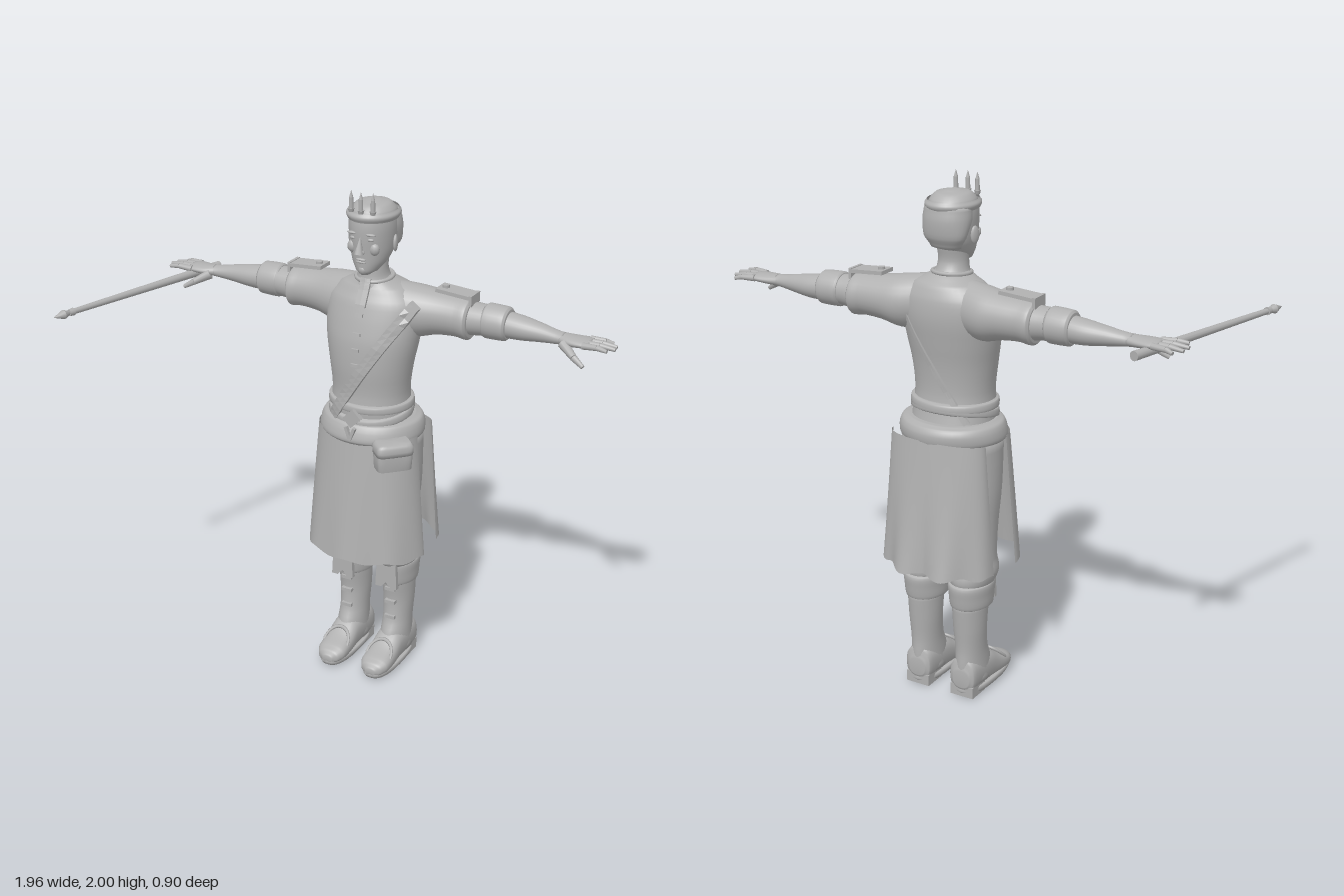
import * as THREE from 'three';

const cloth = new THREE.MeshStandardMaterial({ color: 0xb0b0b0, side: THREE.DoubleSide });
cloth.name = 'plainGrey';

const AXES = { x: [0, 2, 1], y: [1, 0, 2], z: [2, 1, 0] }; // along, cosine axis, sine axis

function add(parent, name, geometry, x = 0, y = 0, z = 0) {
  const mesh = new THREE.Mesh(geometry, cloth);
  mesh.name = name;
  mesh.position.set(x, y, z);
  parent.add(mesh);
  return mesh;
}

// Smooth skin over elliptical rings: [along, centreCos, centreSin, radiusCos, radiusSin]
function loft(axis, rows, { seg = 28, sub = 4, power = 2, cap = true } = {}) {
  const rings = [], pos = [], idx = [], [A, C, S] = AXES[axis];
  for (let i = 0; i < rows.length - 1; i++) {
    const p = [rows[Math.max(i - 1, 0)], rows[i], rows[i + 1], rows[Math.min(i + 2, rows.length - 1)]];
    for (let k = 0; k < sub; k++) {
      const t = k / sub;
      rings.push(p[1].map((b, j) => {
        const a = p[0][j], c = p[2][j], d = p[3][j];
        if (sub === 1) return b;
        if (j === 0) return b + (c - b) * t;
        return b + 0.5 * t * (c - a + t * (2 * a - 5 * b + 4 * c - d + t * (3 * (b - c) + d - a)));
      }));
    }
  }
  rings.push(rows[rows.length - 1]);
  const bend = v => Math.sign(v) * Math.pow(Math.abs(v), 2 / power);
  const put = (along, c, s) => { const v = []; v[A] = along; v[C] = c; v[S] = s; pos.push(...v); };
  rings.forEach(r => {
    for (let k = 0; k < seg; k++) {
      const a = k / seg * Math.PI * 2;
      put(r[0], r[1] + r[3] * bend(Math.cos(a)), r[2] + r[4] * bend(Math.sin(a)));
    }
  });
  const up = rows[rows.length - 1][0] > rows[0][0];
  const tri = (a, b, c) => up ? idx.push(a, b, c) : idx.push(a, c, b);
  const n = rings.length - 1;
  for (let i = 0; i < n; i++) for (let k = 0; k < seg; k++) {
    const a = i * seg + k, b = i * seg + (k + 1) % seg;
    tri(a, a + seg, b);
    tri(b, a + seg, b + seg);
  }
  if (cap) [[0, rings[0]], [n, rings[n]]].forEach(([i, r]) => {
    put(r[0], r[1], r[2]);
    const m = pos.length / 3 - 1;
    for (let k = 0; k < seg; k++) {
      const a = i * seg + k, b = i * seg + (k + 1) % seg;
      i ? tri(a, m, b) : tri(a, b, m);
    }
  });
  const g = new THREE.BufferGeometry();
  g.setAttribute('position', new THREE.Float32BufferAttribute(pos, 3));
  g.setIndex(idx);
  g.computeVertexNormals();
  return g;
}

// Upright rings given as [y, halfWidth, frontZ, backZ]
const upright = (rows, cx = 0) => rows.map(([y, rx, f, b]) => [y, cx, (f + b) / 2, rx, (f - b) / 2]);

// Move every vertex by a rule
function warp(g, rule) {
  const p = g.attributes.position, v = new THREE.Vector3();
  for (let i = 0; i < p.count; i++) {
    rule(v.fromBufferAttribute(p, i));
    p.setXYZ(i, v.x, v.y, v.z);
  }
  g.computeVertexNormals();
  return g;
}

// Tapered limb between two points
function rod(parent, name, a, b, r1, r2, seg = 10) {
  const va = new THREE.Vector3(...a), d = new THREE.Vector3(...b).sub(va), len = d.length();
  const m = add(parent, name, new THREE.CylinderGeometry(r2, r1, len, seg), ...va.addScaledVector(d, 0.5).toArray());
  m.quaternion.setFromUnitVectors(new THREE.Vector3(0, 1, 0), d.normalize());
  return m;
}

const TORSO = [[1.06, .165, -.05, -.335], [1.15, .158, -.045, -.315], [1.22, .154, -.05, -.305], [1.32, .166, -.045, -.31],
  [1.42, .184, -.05, -.325], [1.5, .192, -.068, -.335], [1.57, .185, -.09, -.33], [1.62, .14, -.115, -.31],
  [1.645, .085, -.125, -.28], [1.66, .062, -.13, -.26]];

// Depth of the torso surface, used to lay straps on it
function torsoZ(x, y, front) {
  let i = 0;
  while (i < TORSO.length - 2 && TORSO[i + 1][0] < y) i++;
  const a = TORSO[i], b = TORSO[i + 1], t = THREE.MathUtils.clamp((y - a[0]) / (b[0] - a[0]), 0, 1);
  const [, rx, f, k] = a.map((v, j) => v + (b[j] - v) * t);
  return (f + k) / 2 + (front ? 1 : -1) * (f - k) / 2 * Math.sqrt(Math.max(.25, 1 - (x / rx) ** 2));
}
function strap(parent, name, w, h, t, x, y, rot, front) {
  const g = new THREE.BoxGeometry(w, h, t, 2, 20, 1).toNonIndexed();
  g.rotateZ(rot).translate(x, y, 0);
  add(parent, name, warp(g, v => { v.z += torsoZ(v.x, v.y, front); }));
}

// Hanging cloth panel: half an ellipse that widens downwards, with folds
function panel(dir, top, bottom, zc, fold) {
  return warp(new THREE.PlaneGeometry(1, 1, 72, 16), v => {
    const a = v.x * Math.PI * dir, t = .5 - v.y;
    const rx = top[0] + (bottom[0] - top[0]) * t, rz = top[1] + (bottom[1] - top[1]) * t;
    const f = 1 + t * t * fold(a);
    v.set(rx * Math.sin(a) * (1 + (f - 1) * .3), 1.05 - .51 * t + .006 * t * Math.cos(a * 9), zc + dir * rz * Math.cos(a) * f);
  });
}

function buildHead(body) {
  const head = new THREE.Group();
  head.name = 'head';
  body.add(head);
  add(head, 'neck', loft('y', upright([[1.62, .085, -.115, -.29], [1.66, .062, -.125, -.255], [1.7, .056, -.128, -.24], [1.76, .058, -.13, -.25]])));
  add(head, 'skull', loft('y', upright([[1.68, .018, -.1, -.15], [1.695, .042, -.09, -.19], [1.73, .066, -.087, -.235],
    [1.77, .08, -.084, -.27], [1.82, .087, -.08, -.285], [1.87, .09, -.08, -.288], [1.915, .084, -.09, -.277],
    [1.94, .062, -.115, -.25], [1.95, .02, -.16, -.21]])));
  add(head, 'hair', loft('y', upright([[1.75, .06, -.2, -.268], [1.79, .084, -.19, -.29], [1.85, .094, -.15, -.297], [1.9, .09, -.14, -.29]])));
  const nose = add(head, 'nose', new THREE.ConeGeometry(.018, .068, 8), 0, 1.802, -.076);
  nose.rotation.x = -.18;
  [-1, 1].forEach(s => {
    add(head, 'nostril', new THREE.SphereGeometry(.009, 8, 6), s * .01, 1.774, -.077);
    add(head, 'eye', new THREE.SphereGeometry(.012, 10, 8), s * .034, 1.822, -.093).scale.set(1.3, .6, .7);
    const brow = add(head, 'brow', new THREE.SphereGeometry(.02, 10, 6), s * .036, 1.842, -.089);
    brow.scale.set(1.2, .28, .5);
    add(head, 'cheek', new THREE.SphereGeometry(.024, 10, 8), s * .045, 1.785, -.105).scale.set(.9, 1, .7);
    const ear = add(head, 'ear', new THREE.SphereGeometry(.03, 12, 10), s * .09, 1.795, -.185);
    ear.scale.set(.3, 1.1, .65);
    ear.rotation.y = s * .3;
  });
  [1.744, 1.735].forEach(y => add(head, 'lip', new THREE.SphereGeometry(.02, 10, 6), 0, y, -.086).scale.set(1.1, .27, .42));
  add(head, 'chin', new THREE.SphereGeometry(.022, 10, 8), 0, 1.702, -.107);

  // crown with candles along its front
  const ring = (y, r, zr) => add(head, 'crownBand', loft('y', [[y, 0, -.183, r, zr], [y + .012, 0, -.183, r + .006, zr + .006],
    [y + .022, 0, -.183, r + .006, zr + .006], [y + .034, 0, -.183, r - .002, zr - .002]], { cap: false, seg: 36 }));
  ring(1.885, .092, .106);
  [-.045, 0, .045].forEach(x => {
    const z = -.183 + .1 * Math.sqrt(1 - (x / .11) ** 2);
    add(head, 'candleCup', new THREE.CylinderGeometry(.013, .009, .014, 10), x, 1.925, z);
    add(head, 'candle', new THREE.CylinderGeometry(.008, .009, .05, 10), x, 1.948, z);
    add(head, 'flame', new THREE.ConeGeometry(.008, .028, 8), x, 1.986, z);
  });
}

function buildArm(side) {
  const arm = new THREE.Group();
  arm.name = side > 0 ? 'leftArm' : 'rightArm';
  arm.scale.x = side;
  add(arm, 'sleeve', loft('x', [[.07, -.215, 1.54, .09, .1], [.17, -.235, 1.53, .096, .1], [.25, -.245, 1.534, .086, .085],
    [.33, -.248, 1.534, .08, .079], [.375, -.248, 1.53, .082, .08], [.385, -.248, 1.53, .07, .07]]));
  add(arm, 'innerSleeve', loft('x', [[.36, -.25, 1.532, .066, .065], [.42, -.25, 1.535, .062, .06], [.47, -.252, 1.536, .06, .058]]));
  add(arm, 'cuff', loft('x', [[.435, -.252, 1.536, .06, .06], [.445, -.252, 1.536, .066, .066], [.52, -.254, 1.535, .064, .064], [.53, -.254, 1.535, .055, .055]]));
  add(arm, 'forearm', loft('x', [[.5, -.255, 1.533, .052, .05], [.58, -.256, 1.53, .05, .045], [.66, -.252, 1.528, .038, .034],
    [.72, -.246, 1.526, .031, .025], [.75, -.244, 1.526, .032, .022]]));
  add(arm, 'palm', loft('x', [[.73, -.245, 1.526, .03, .022], [.78, -.242, 1.526, .042, .02], [.83, -.243, 1.528, .047, .017], [.853, -.243, 1.53, .042, .011]]));
  [[-.203, -.19, .93], [-.229, -.228, .948], [-.255, -.262, .943], [-.28, -.297, .918]].forEach(([z1, z2, x], i) => {
    const knuckle = [.89, 1.534 - i * .002, (z1 + z2) / 2];
    rod(arm, 'finger', [.835, 1.529, z1], knuckle, .013, .0105);
    rod(arm, 'fingertip', knuckle, [x, 1.53 - i * .003, z2], .0105, .007);
  });
  rod(arm, 'thumbBase', [.755, 1.518, -.215], [.81, 1.487, -.182], .02, .013);
  rod(arm, 'thumbTip', [.81, 1.487, -.182], [.852, 1.462, -.17], .013, .008);

  // shoulder tab with buckle
  const tab = add(arm, 'shoulderTab', new THREE.BoxGeometry(.145, .014, .075), .317, 1.625, -.248);
  tab.rotation.z = -.07;
  add(arm, 'tabEnd', new THREE.BoxGeometry(.012, .04, .075), .386, 1.61, -.248);
  add(arm, 'tabButton', new THREE.CylinderGeometry(.014, .014, .014, 10), .27, 1.638, -.248);
  return arm;
}

function buildLeg(side) {
  const leg = new THREE.Group();
  leg.name = side > 0 ? 'leftLeg' : 'rightLeg';
  leg.scale.x = side;
  const c = .1;
  add(leg, 'trouserLeg', loft('y', upright([[.445, .07, -.14, -.315], [.475, .084, -.118, -.328], [.51, .092, -.108, -.325],
    [.56, .085, -.12, -.305], [.68, .088, -.12, -.3], [.85, .1, -.1, -.31], [1.05, .1, -.08, -.32]], c)));
  add(leg, 'bootCuff', loft('y', upright([[.365, .062, -.15, -.315], [.375, .078, -.138, -.328], [.42, .082, -.13, -.335],
    [.465, .084, -.128, -.338], [.475, .07, -.14, -.32]], c)));
  add(leg, 'bootShaft', loft('y', upright([[.05, .06, -.14, -.315], [.12, .058, -.135, -.316], [.19, .057, -.163, -.312],
    [.28, .062, -.172, -.318], [.39, .066, -.158, -.326]], c)));
  add(leg, 'foot', loft('z', [[-.318, .075, c, .035, .035], [-.305, .085, c, .07, .055], [-.24, .085, c, .073, .059], [-.16, .08, c, .066, .06],
    [-.1, .06, c, .047, .062], [-.04, .05, c, .034, .061], [-.01, .043, c, .026, .045], [.004, .036, c, .014, .02]], { power: 2.4 }));
  add(leg, 'sole', loft('y', [[.008, c, -.155, .058, .155], [.022, c, -.155, .064, .162], [.034, c, -.155, .06, .156]], { sub: 1, power: 2.6 }));
  add(leg, 'heel', new THREE.BoxGeometry(.1, .045, .095), c, .0225, -.265);
  const flap = new THREE.Shape([[-.042, .07], [.042, .07], [.048, -.04], [.022, -.04], [0, -.015], [-.022, -.04], [-.048, -.04]].map(p => new THREE.Vector2(...p)));
  add(leg, 'bootFlap', new THREE.ExtrudeGeometry(flap, { depth: .018, bevelEnabled: false }), c, .405, -.144);
  [.34, .28, .21].forEach(y => add(leg, 'bootStrap', new THREE.BoxGeometry(.045, .014, .02), c, y, -.168));
  const trim = add(leg, 'toeTrim', new THREE.TorusGeometry(.054, .006, 6, 20, Math.PI), c, .075, -.07);
  trim.rotation.x = -.75;
  trim.scale.y = 1.3;
  return leg;
}

export function createModel() {
  const model = new THREE.Group();
  model.name = 'robedFigure';
  const body = new THREE.Group();
  body.name = 'body';
  body.position.x = .03;
  model.add(body);

  // tunic with collar, placket and cross strap
  add(body, 'tunic', loft('y', upright(TORSO), { seg: 40, power: 2.1 }));
  const collar = add(body, 'collar', new THREE.TorusGeometry(.07, .008, 8, 32), 0, 1.653, -.195);
  collar.rotation.x = Math.PI / 2 + .08;
  strap(body, 'placket', .042, .1, .02, 0, 1.61, 0, true);
  [1.53, 1.46, 1.4, 1.34, 1.26].forEach(y => strap(body, 'button', .03, .012, .018, 0, y, 0, true));
  strap(body, 'crossStrapFront', .044, .56, .045, .045, 1.345, -.568, true);
  strap(body, 'crossStrapBack', .018, .56, .02, .035, 1.35, .0 - .568, false);

  // belts and waist roll
  [[1.165, .02], [1.135, .2]].forEach(([y, tilt]) => add(body, 'belt', warp(loft('y', upright([
    [y - .018, .158, -.045, -.318], [y - .013, .17, -.033, -.328], [y + .013, .168, -.033, -.326], [y + .018, .155, -.045, -.313]]), { seg: 36 }),
  v => { v.y -= (v.z + .18) * tilt; })));
  const buckle = add(body, 'buckle', new THREE.BoxGeometry(.05, .05, .022), 0, 1.13, -.028);
  buckle.rotation.z = Math.PI / 4;
  buckle.scale.x = 1.2;
  add(body, 'waistRoll', loft('y', upright([[1.02, .19, -.02, -.355], [1.04, .208, -.005, -.372], [1.075, .206, -.012, -.376],
    [1.1, .195, -.025, -.365], [1.11, .168, -.045, -.34]]), { seg: 40 }));
  [-1, 1].forEach(s => { add(body, 'sashKnot', new THREE.BoxGeometry(.012, .05, .015), s * .01, 1.075, -.008).rotation.z = -s * .35; });

  // skirt panels, open at the sides
  add(body, 'skirtFront', panel(1, [.208, .145], [.25, .195], -.162, a => Math.abs(a) > 1.57 ? 0 : .025 * Math.cos(a * 8)));
  add(body, 'skirtBack', panel(-1, [.2, .075], [.235, .14], -.297, a => .14 * Math.cos((Math.abs(a) - .38) * 7) * Math.cos(a)));
  [-1, 1].forEach(s => body.add(buildArm(s), buildLeg(s)));
  buildHead(body);

  // belt pouch
  const pouch = new THREE.Group();
  pouch.name = 'pouch';
  pouch.position.set(.165, 1.005, -.045);
  pouch.rotation.y = .8;
  body.add(pouch);
  add(pouch, 'pouchBag', loft('y', [[-.055, 0, 0, .05, .03], [-.05, 0, 0, .068, .042], [.04, 0, 0, .07, .044], [.05, 0, 0, .06, .035]], { power: 5, sub: 2 }));
  add(pouch, 'pouchLid', loft('y', [[.012, 0, 0, .072, .049], [.045, 0, 0, .074, .049], [.06, 0, 0, .062, .038]], { power: 5, sub: 2 }));

  // staff held in the right hand
  const staff = new THREE.Group();
  staff.name = 'staff';
  model.add(staff);
  const at = t => [-.77 - .21 * t, 1.507, -.345 + .8 * t];
  rod(staff, 'staffShaft', at(0), at(.91), .018, .011, 12);
  rod(staff, 'staffCollar', at(.89), at(.915), .015, .013, 12);
  rod(staff, 'staffTipBase', at(.915), at(.945), .008, .018, 12);
  rod(staff, 'staffTip', at(.945), at(1), .018, .001, 12);
  return model;
}
